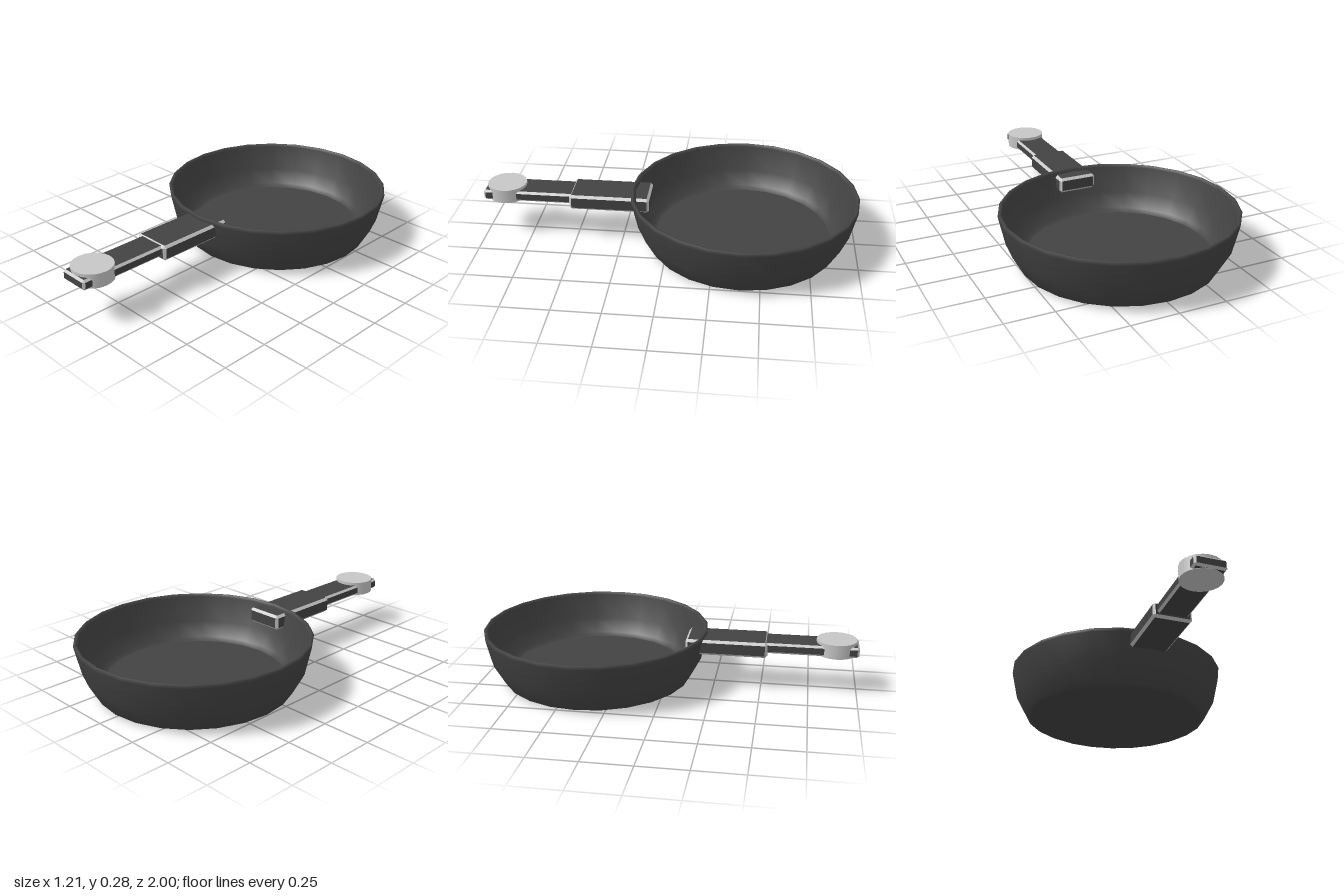
import * as THREE from 'three';
import { ConvexGeometry } from 'three/addons/geometries/ConvexGeometry.js';

const darkIron = new THREE.MeshStandardMaterial({ color: 0x434343 });
darkIron.name = 'darkIron';
const paleSteel = new THREE.MeshStandardMaterial({ color: 0xc6c6c6 });
paleSteel.name = 'paleSteel';

function addMesh(parent, name, geometry, material) {
  const mesh = new THREE.Mesh(geometry, material);
  mesh.name = name;
  parent.add(mesh);
  return mesh;
}

function lathe(points) {
  return new THREE.LatheGeometry(points.map(([r, y]) => new THREE.Vector2(r, y)), 24);
}

// Box with chamfered edges: group 0 = main faces, group 1 = chamfers
function chamferedBox(w, h, d, c) {
  const points = [];
  for (const x of [-1, 1]) for (const y of [-1, 1]) for (const z of [-1, 1]) {
    const corner = new THREE.Vector3(x * w / 2, y * h / 2, z * d / 2);
    const inset = new THREE.Vector3(x * c, y * c, z * c);
    for (const keep of ['x', 'y', 'z']) {
      const p = corner.clone().sub(inset);
      p[keep] = corner[keep];
      points.push(p);
    }
  }
  const geometry = new ConvexGeometry(points);
  const normal = geometry.attributes.normal;
  for (let i = 0; i < normal.count; i += 3) {
    const flat = Math.max(Math.abs(normal.getX(i)), Math.abs(normal.getY(i)), Math.abs(normal.getZ(i)));
    geometry.addGroup(i, 3, flat > 0.99 ? 0 : 1);
  }
  return geometry;
}

// Handle bar spanning the given y and z ranges
function addBar(parent, name, width, y0, y1, z0, z1, chamfer) {
  const bar = addMesh(parent, name, chamferedBox(width, y1 - y0, z1 - z0, chamfer), [darkIron, paleSteel]);
  bar.position.set(0, (y0 + y1) / 2, (z0 + z1) / 2);
}

export function createModel() {
  const model = new THREE.Group();
  model.name = 'fryingPan';

  // Bowl: separate lathes keep the edges of the two flat discs sharp
  const bowl = new THREE.Group();
  bowl.name = 'bowl';
  bowl.position.z = -0.397;
  model.add(bowl);
  addMesh(bowl, 'bowlWall', lathe([
    [0.485, 0], [0.51, 0.012], [0.57, 0.122], [0.602, 0.265], [0.604, 0.278], [0.597, 0.285],
    [0.588, 0.284], [0.581, 0.272], [0.55, 0.135], [0.5, 0.06], [0.47, 0.045],
  ]), darkIron);
  addMesh(bowl, 'bowlBase', lathe([[0, 0], [0.485, 0]]), darkIron);
  addMesh(bowl, 'cookingFloor', lathe([[0.47, 0.045], [0, 0.045]]), darkIron);

  // Stepped handle
  const handle = new THREE.Group();
  handle.name = 'handle';
  model.add(handle);
  addBar(handle, 'handleSocket', 0.208, 0.183, 0.265, 0.1, 0.53, 0.013);
  addBar(handle, 'handleGrip', 0.164, 0.204, 0.26, 0.45, 1, 0.011);

  // Round end cap
  const cap = addMesh(handle, 'endCap', new THREE.CylinderGeometry(0.105, 0.105, 0.075, 20), paleSteel);
  cap.position.set(0, 0.239, 0.885);

  return model;
}
